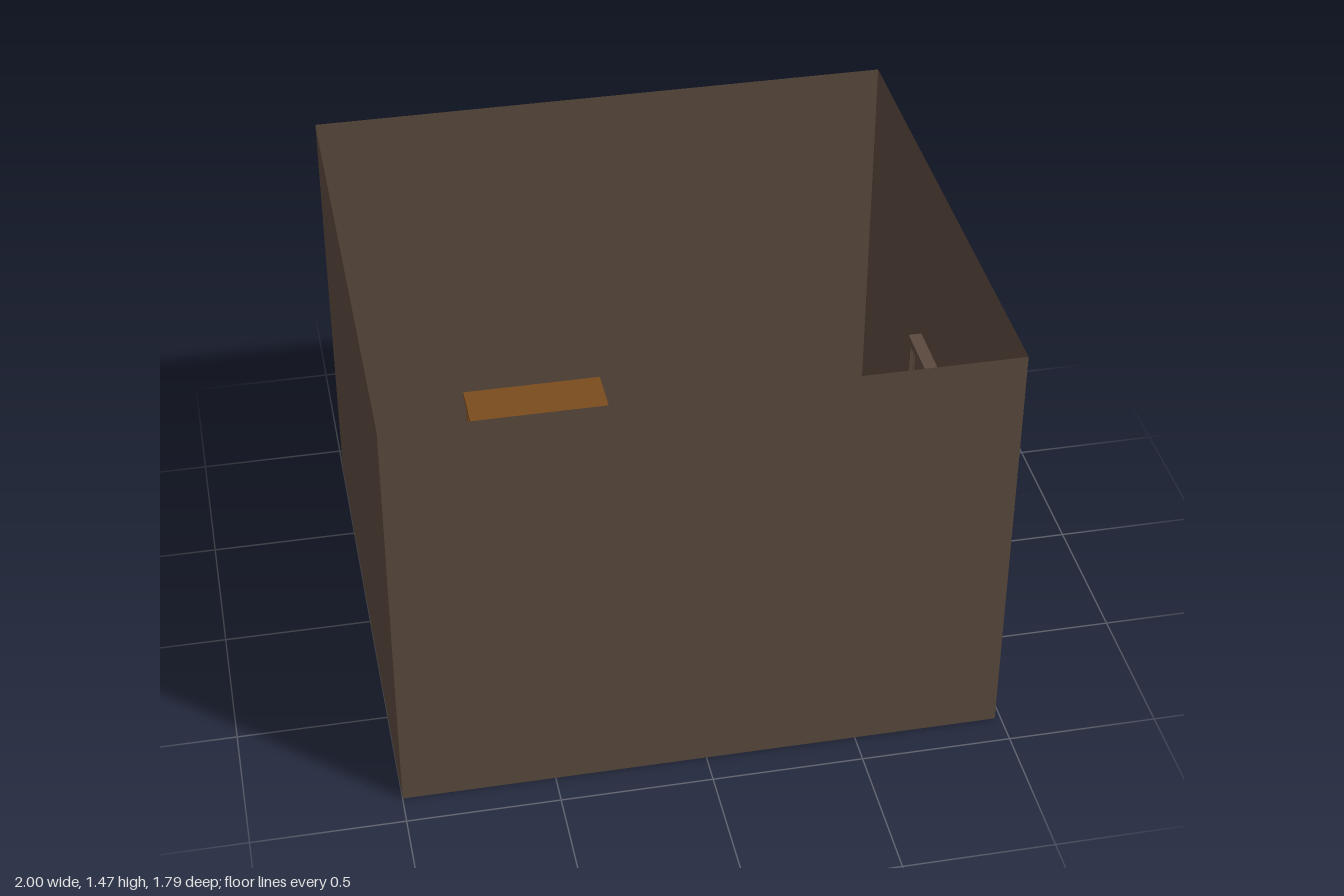
import * as THREE from 'three';

export function createModel() {
  const room = new THREE.Group();
  room.name = 'room';
  const brown = new THREE.MeshStandardMaterial({ color: 0x5a493d, side: THREE.DoubleSide });
  brown.name = 'dull brown';
  const wood = new THREE.MeshStandardMaterial({ color: 0x7a4c1e });
  wood.name = 'warm wood';

  const X0 = -1, X1 = 0.98, Z = 0.895, H = 1.47;
  const midX = (X0 + X1) / 2;

  function add(parent, name, geometry, material, x = 0, y = 0, z = 0) {
    const mesh = new THREE.Mesh(geometry, material);
    mesh.name = name;
    mesh.position.set(x, y, z);
    parent.add(mesh);
    return mesh;
  }
  const box = (parent, name, material, w, h, d, x, y, z) =>
    add(parent, name, new THREE.BoxGeometry(w, h, d), material, x, y, z);

  // Thin floor and plain walls, open at the top
  add(room, 'floor', new THREE.PlaneGeometry(X1 - X0, 2 * Z), brown, midX, 0.003, 0).rotation.x = -Math.PI / 2;
  add(room, 'frontWall', new THREE.PlaneGeometry(X1 - X0, H), brown, midX, H / 2, Z);
  add(room, 'backWall', new THREE.PlaneGeometry(X1 - X0, H), brown, midX, H / 2, -Z).rotation.y = Math.PI;
  add(room, 'rightWall', new THREE.PlaneGeometry(2 * Z, H), brown, X0, H / 2, 0).rotation.y = -Math.PI / 2;

  // Wall with the doorway cut out of its lower edge
  const doorWall = new THREE.Shape([
    [-Z, 0], [-0.17, 0], [-0.17, 0.8], [0.17, 0.8], [0.17, 0], [Z, 0], [Z, H], [-Z, H],
  ].map(([x, y]) => new THREE.Vector2(x, y)));
  add(room, 'doorWall', new THREE.ShapeGeometry(doorWall), brown, X1).rotation.y = Math.PI / 2;

  // Door frame through the wall, with a narrow stop inside it
  const doorway = new THREE.Group();
  doorway.name = 'doorway';
  room.add(doorway);
  const frameX = 0.9675, frameDepth = 0.065;
  for (const s of [-1, 1]) {
    box(doorway, 'doorJamb', brown, frameDepth, 0.79, 0.03, frameX, 0.395, s * 0.175);
    box(doorway, 'jambStop', brown, 0.04, 0.79, 0.006, frameX, 0.395, s * 0.157);
  }
  box(doorway, 'doorHead', brown, frameDepth, 0.03, 0.38, frameX, 0.805, 0);
  box(doorway, 'headStop', brown, 0.04, 0.008, 0.32, frameX, 0.786, 0);

  // Door leaf with two recessed panels
  const leaf = new THREE.Shape();
  const rect = (path, w, y0, y1) => path.moveTo(-w, y0).lineTo(w, y0).lineTo(w, y1).lineTo(-w, y1).closePath();
  rect(leaf, 0.16, 0.005, 0.785);
  for (const [y0, y1] of [[0.09, 0.355], [0.43, 0.725]]) {
    const hole = new THREE.Path();
    rect(hole, 0.112, y0, y1);
    leaf.holes.push(hole);
    box(doorway, 'doorPanel', brown, 0.01, y1 - y0, 0.224, 0.965, (y0 + y1) / 2, 0);
  }
  const leafGeometry = new THREE.ExtrudeGeometry(leaf, { depth: 0.026, bevelEnabled: false });
  add(doorway, 'doorLeaf', leafGeometry, brown, 0.952).rotation.y = Math.PI / 2;

  // Two matching tables against the front and back walls
  const w = 0.255, d = 0.225, r = 0.012, topY = 0.29;
  const top = new THREE.Shape();
  top.moveTo(-w, 0).lineTo(w, 0).lineTo(w, d - r);
  top.quadraticCurveTo(w, d, w - r, d).lineTo(-w + r, d);
  top.quadraticCurveTo(-w, d, -w, d - r).closePath();
  for (const s of [-1, 1]) {
    const table = new THREE.Group();
    table.name = s > 0 ? 'frontTable' : 'backTable';
    table.position.set(-0.285, 0, s * 0.883);
    if (s > 0) table.rotation.y = Math.PI;
    const slab = new THREE.ExtrudeGeometry(top, { depth: 0.02, bevelEnabled: false, curveSegments: 5 });
    add(table, 'tableTop', slab, wood, 0, topY, 0).rotation.x = Math.PI / 2;
    for (const x of [-0.235, 0.235])
      for (const z of [0.02, 0.205])
        box(table, 'tableLeg', wood, 0.025, topY - 0.02, 0.025, x, (topY - 0.02) / 2, z);
    room.add(table);
  }
  return room;
}
